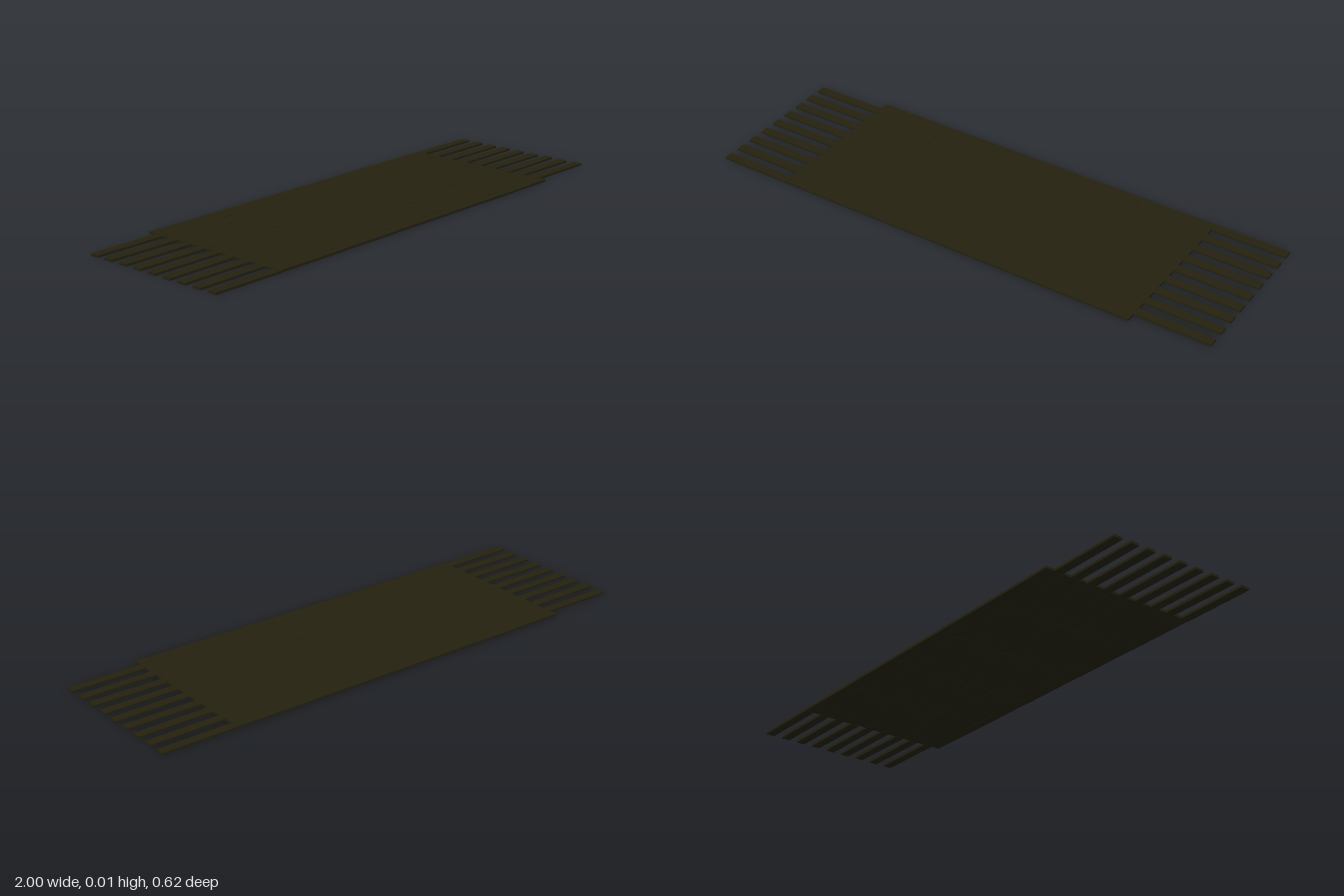
import * as THREE from 'three';

const ROWS = 18, PER_ROW = 6;
const LENGTH = 2 / 7, WIDTH = 0.62 / ROWS, THICK = 0.0086;

// small repeatable noise in -1..1
function makeNoise(seed) {
  return () => {
    seed = (seed * 16807) % 2147483647;
    return (seed / 2147483647) * 2 - 1;
  };
}

export function createModel() {
  const model = new THREE.Group();
  model.name = 'plankFloor';
  const wood = new THREE.MeshStandardMaterial({ color: 0x24210f });
  wood.name = 'dark wood';
  const noise = makeNoise(4711);
  const plankGeometry = new THREE.BoxGeometry(LENGTH, THICK, WIDTH);

  // alternate rows are shifted by one plank, leaving open fingers at both ends
  for (let r = 0; r < ROWS; r++) {
    const row = new THREE.Group();
    row.name = `plankRow${r + 1}`;
    row.position.z = -0.31 + (r + 0.5) * WIDTH;
    const first = r % 2 === 0 ? 1 : 0;
    for (let i = 0; i < PER_ROW; i++) {
      const plank = new THREE.Mesh(plankGeometry, wood);
      plank.name = 'plank';
      // each plank lies very slightly tilted along its length
      const lift = noise() * 0.0009;
      plank.position.set(-1 + (first + i + 0.5) * LENGTH, THICK / 2 + 0.0009, 0);
      plank.rotation.z = Math.atan2(lift, LENGTH / 2);
      row.add(plank);
    }
    model.add(row);
  }
  return model;
}
